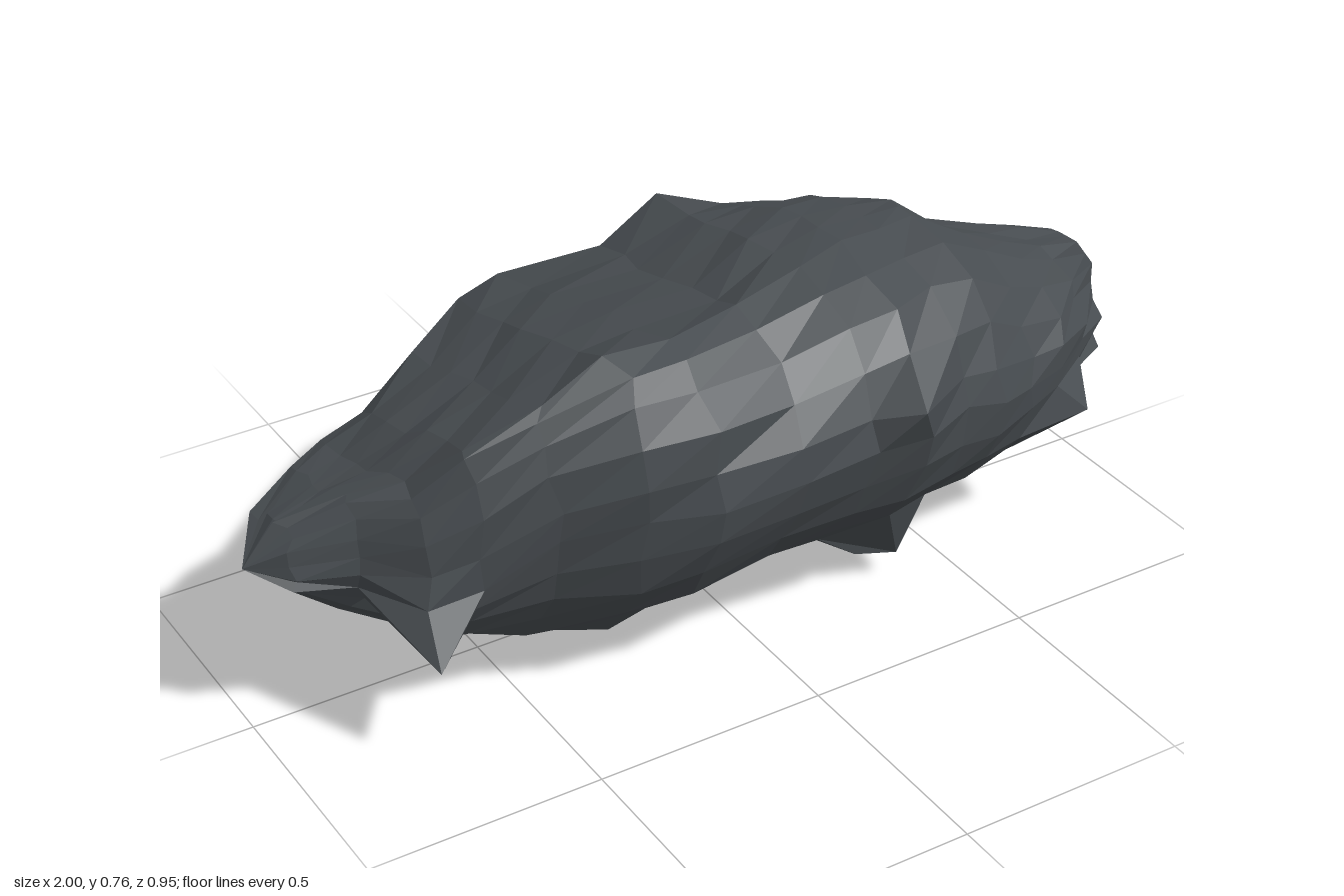
import * as THREE from 'three';

// Stations along the rock: x, crest [y, z], back edge [y, z], front edge [y, z], bottom y
const STATIONS = [
  [-0.92, [0.47, 0.03], [0.42, -0.10], [0.38, 0.09], 0.31],
  [-0.81, [0.52, 0.07], [0.45, -0.17], [0.38, 0.15], 0.23],
  [-0.72, [0.56, 0.15], [0.45, -0.23], [0.33, 0.25], 0.20],
  [-0.62, [0.64, 0.22], [0.48, -0.24], [0.34, 0.27], 0.13],
  [-0.47, [0.68, 0.23], [0.53, -0.30], [0.42, 0.30], 0.07],
  [-0.31, [0.745, 0.22], [0.53, -0.43], [0.44, 0.37], 0.05],
  [-0.17, [0.74, 0.21], [0.545, -0.46], [0.45, 0.415], 0.07],
  [0.02, [0.725, 0.17], [0.59, -0.39], [0.45, 0.41], 0.085],
  [0.18, [0.75, 0.13], [0.65, -0.36], [0.47, 0.42], 0.08],
  [0.30, [0.755, 0.10], [0.64, -0.34], [0.48, 0.43], 0.07],
  [0.42, [0.74, 0.06], [0.61, -0.33], [0.47, 0.39], 0.08],
  [0.53, [0.725, 0.04], [0.57, -0.28], [0.44, 0.36], 0.085],
  [0.64, [0.65, 0.04], [0.52, -0.27], [0.43, 0.33], 0.12],
  [0.75, [0.60, 0.05], [0.50, -0.23], [0.42, 0.29], 0.17],
  [0.86, [0.56, 0.05], [0.48, -0.19], [0.41, 0.21], 0.23],
  [0.96, [0.53, 0.03], [0.46, -0.09], [0.40, 0.13], 0.29],
];

const FRONT_STEPS = 5;
const UNDER_STEPS = 12;
const TOP_STEPS = 6;

// Sharp crags: the nearest surface vertex is pulled out to each point
const CRAGS = [
  [0.38, 0, -0.18], [-0.25, 0.01, 0.10], [0.37, 0.06, 0.24], [-0.60, 0.06, -0.01],
  [0.30, 0.05, 0.19], [0.58, 0.085, 0.01], [-0.74, 0.23, 0.32], [0.26, 0.56, 0.47],
  [0.81, 0.30, 0.30], [-0.17, 0.545, -0.48], [-0.27, 0.52, -0.47], [0.18, 0.67, -0.41],
  [0.41, 0.62, -0.34], [0.67, 0.46, -0.28], [-0.63, 0.645, 0.23], [0.99, 0.50, 0.04],
  [0.98, 0.31, 0.12], [-0.29, 0.72, 0.28],
];

function seeded(seed) {
  return () => {
    seed = (seed * 16807) % 2147483647;
    return seed / 2147483647 - 0.5;
  };
}

// One cross-section as [y, z] pairs: crest, front slope, underside, back edge, top plane
function section(x, [crestY, crestZ], [backY, backZ], [frontY, frontZ], bottom) {
  const { lerp, clamp } = THREE.MathUtils;
  const bulge = clamp(x * 0.1, 0, 0.04);
  const ring = [];
  for (let i = 0; i <= FRONT_STEPS; i++) {
    const a = (i / FRONT_STEPS) * Math.PI / 2;
    ring.push([
      frontY + (crestY - frontY) * Math.max(0, Math.cos(a)) ** 1.15,
      crestZ + (frontZ - crestZ) * Math.sin(a),
    ]);
  }
  for (let i = 1; i < UNDER_STEPS; i++) {
    const a = (i / UNDER_STEPS) * Math.PI;
    const u = Math.cos(a);
    const edgeY = lerp(backY, frontY, (u + 1) / 2);
    ring.push([
      edgeY - (edgeY - bottom) * Math.sin(a) ** 1.1,
      u > 0 ? u * frontZ : -u * backZ,
    ]);
  }
  for (let i = 0; i < TOP_STEPS; i++) {
    const t = i / TOP_STEPS;
    ring.push([lerp(backY, crestY, t) + bulge * Math.sin(Math.PI * t), lerp(backZ, crestZ, t)]);
  }
  return ring;
}

function rockGeometry() {
  const rand = seeded(4271);
  const points = [];
  for (const station of STATIONS) {
    for (const [y, z] of section(...station)) {
      points.push(new THREE.Vector3(
        station[0] + rand() * 0.025, y + rand() * 0.014, z + rand() * 0.022,
      ));
    }
  }
  const n = points.length / STATIONS.length;
  const used = new Set();
  for (const crag of CRAGS) {
    const target = new THREE.Vector3(...crag);
    let best = -1;
    points.forEach((p, i) => {
      if (used.has(i)) return;
      if (best < 0 || p.distanceTo(target) < points[best].distanceTo(target)) best = i;
    });
    used.add(best);
    points[best].copy(target);
  }

  // Skin between the stations, closed by a point at each end
  const index = [];
  const last = (STATIONS.length - 1) * n;
  const leftTip = points.push(new THREE.Vector3(1, 0.38, 0.01)) - 1;
  const rightTip = points.push(new THREE.Vector3(-1, 0.39, 0.02)) - 1;
  for (let j = 0; j < n; j++) {
    const k = (j + 1) % n;
    for (let s = 0; s < last; s += n) {
      index.push(s + j, s + k, s + n + j, s + k, s + n + k, s + n + j);
    }
    index.push(rightTip, k, j, leftTip, last + j, last + k);
  }
  const geometry = new THREE.BufferGeometry().setFromPoints(points);
  geometry.setIndex(index);
  const faceted = geometry.toNonIndexed();
  faceted.computeVertexNormals();
  return faceted;
}

export function createModel() {
  const stone = new THREE.MeshStandardMaterial({ color: 0x474c50, flatShading: true });
  stone.name = 'dark stone';
  const rock = new THREE.Mesh(rockGeometry(), stone);
  rock.name = 'rock';
  const group = new THREE.Group();
  group.name = 'craggy boulder';
  group.add(rock);
  return group;
}
